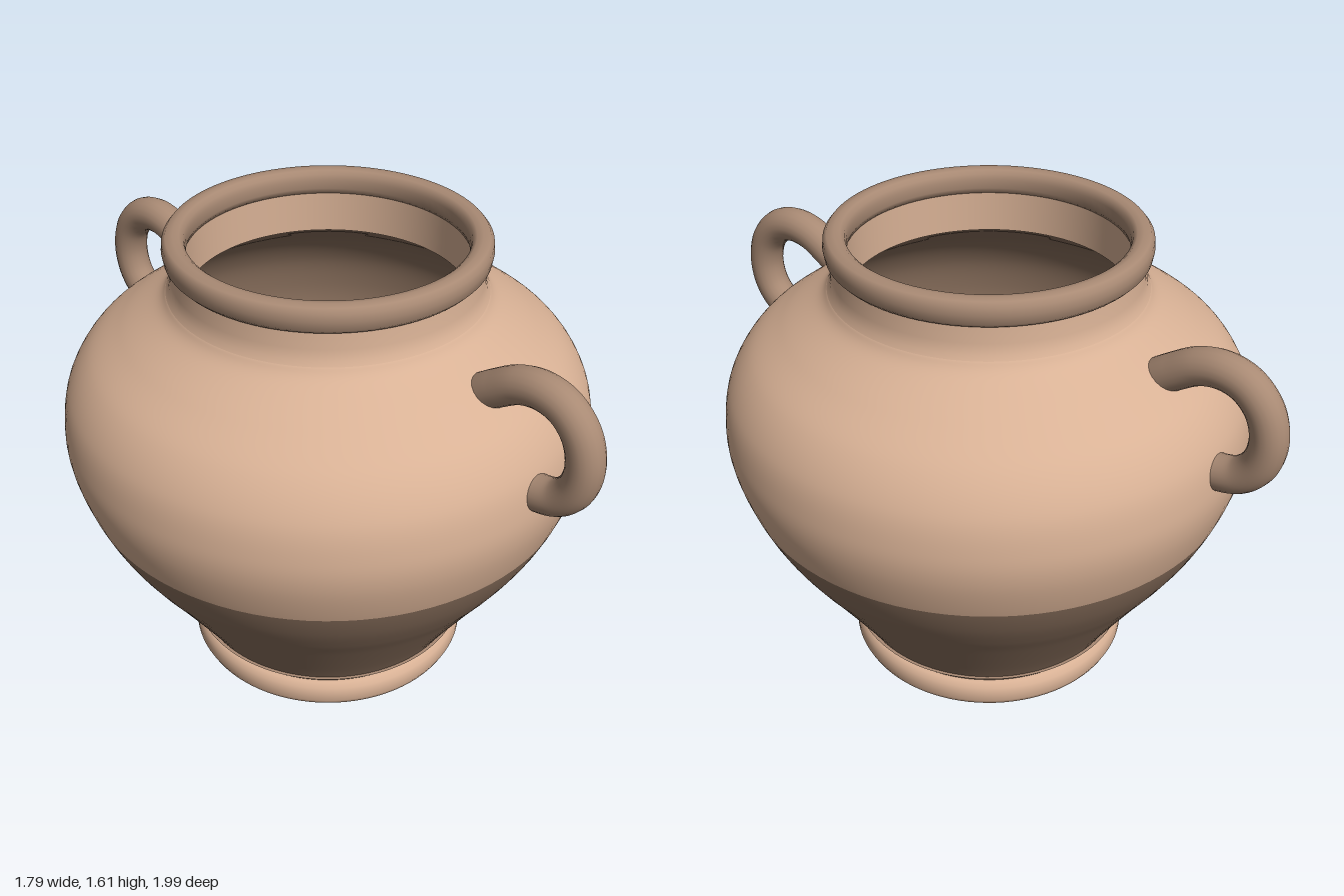
import * as THREE from 'three';

const LIGHT = 0xd8b195, MID = 0xa98a74, DARK = 0x8a705d;

function add(group, name, geometry, color) {
  const mesh = new THREE.Mesh(geometry, new THREE.MeshStandardMaterial({ color }));
  mesh.name = name;
  group.add(mesh);
  return mesh;
}

const vectors = (pairs) => pairs.map(([r, y]) => new THREE.Vector2(r, y));
const turned = (points) => new THREE.LatheGeometry(points, 96);

// Smooth wall profile, as radius by height
const wall = new THREE.SplineCurve(vectors([
  [0.465, 0.09], [0.53, 0.2], [0.66, 0.4], [0.735, 0.51], [0.8, 0.62], [0.852, 0.74],
  [0.888, 0.87], [0.892, 0.98], [0.866, 1.1], [0.795, 1.21], [0.68, 1.3], [0.56, 1.38], [0.525, 1.42],
])).getPoints(120);

// Cuts the profile at the colour line
function cutWall(y) {
  const i = wall.findIndex((p) => p.y > y);
  const a = wall[i - 1], b = wall[i];
  const cut = a.clone().lerp(b, (y - a.y) / (b.y - a.y));
  return [[...wall.slice(0, i), cut], [cut, ...wall.slice(i)]];
}

export function createModel() {
  const pot = new THREE.Group();
  pot.name = 'pot';

  // Foot ring and underside
  add(pot, 'foot', turned(vectors([
    [0.475, 0], [0.49, 0.006], [0.499, 0.025], [0.5, 0.055], [0.495, 0.08], [0.48, 0.095], [0.455, 0.1],
  ])), LIGHT);
  add(pot, 'underside', new THREE.CircleGeometry(0.476, 96).rotateX(Math.PI / 2), DARK);

  // Two-tone body
  const [lower, upper] = cutWall(0.72);
  add(pot, 'lowerBody', turned(lower), DARK);
  add(pot, 'upperBody', turned(upper), LIGHT);

  // Neck, outside and inside
  add(pot, 'neck', turned(vectors([[0.53, 1.41], [0.515, 1.435], [0.508, 1.47], [0.503, 1.54]])), LIGHT);
  add(pot, 'neckInside', turned(vectors([[0.46, 1.55], [0.46, 1.39]])), LIGHT);

  // Rolled rim
  add(pot, 'rim', turned(vectors([
    [0.49, 1.525], [0.512, 1.527], [0.524, 1.54], [0.529, 1.57], [0.526, 1.595], [0.514, 1.61],
    [0.49, 1.614], [0.47, 1.611], [0.457, 1.6], [0.452, 1.58], [0.452, 1.55], [0.46, 1.53], [0.49, 1.525],
  ])), MID);

  // Hollow inside and floor
  const inner = wall.map((p) => new THREE.Vector2(p.x - 0.05, p.y)).filter((p) => p.y > 0.12 && p.y < 1.37).reverse();
  add(pot, 'inside', turned([new THREE.Vector2(0.46, 1.39), ...inner]), DARK);
  add(pot, 'floor', new THREE.CircleGeometry(0.5, 96).rotateX(-Math.PI / 2).translate(0, 0.13, 0), MID);

  // Two loop handles on opposite shoulders
  const path = new THREE.CatmullRomCurve3([
    [0.62, 1.27], [0.7, 1.325], [0.78, 1.37], [0.86, 1.384], [0.94, 1.362], [1.005, 1.295],
    [1.03, 1.2], [1.01, 1.11], [0.955, 1.05], [0.89, 1.03], [0.8, 1.03],
  ].map(([r, y]) => new THREE.Vector3(0, y, r)));
  const loop = new THREE.TubeGeometry(path, 64, 0.06, 20);
  ['frontHandle', 'backHandle'].forEach((name, i) => {
    add(pot, name, loop, MID).rotation.y = THREE.MathUtils.degToRad(24.5) + i * Math.PI;
  });

  return pot;
}
